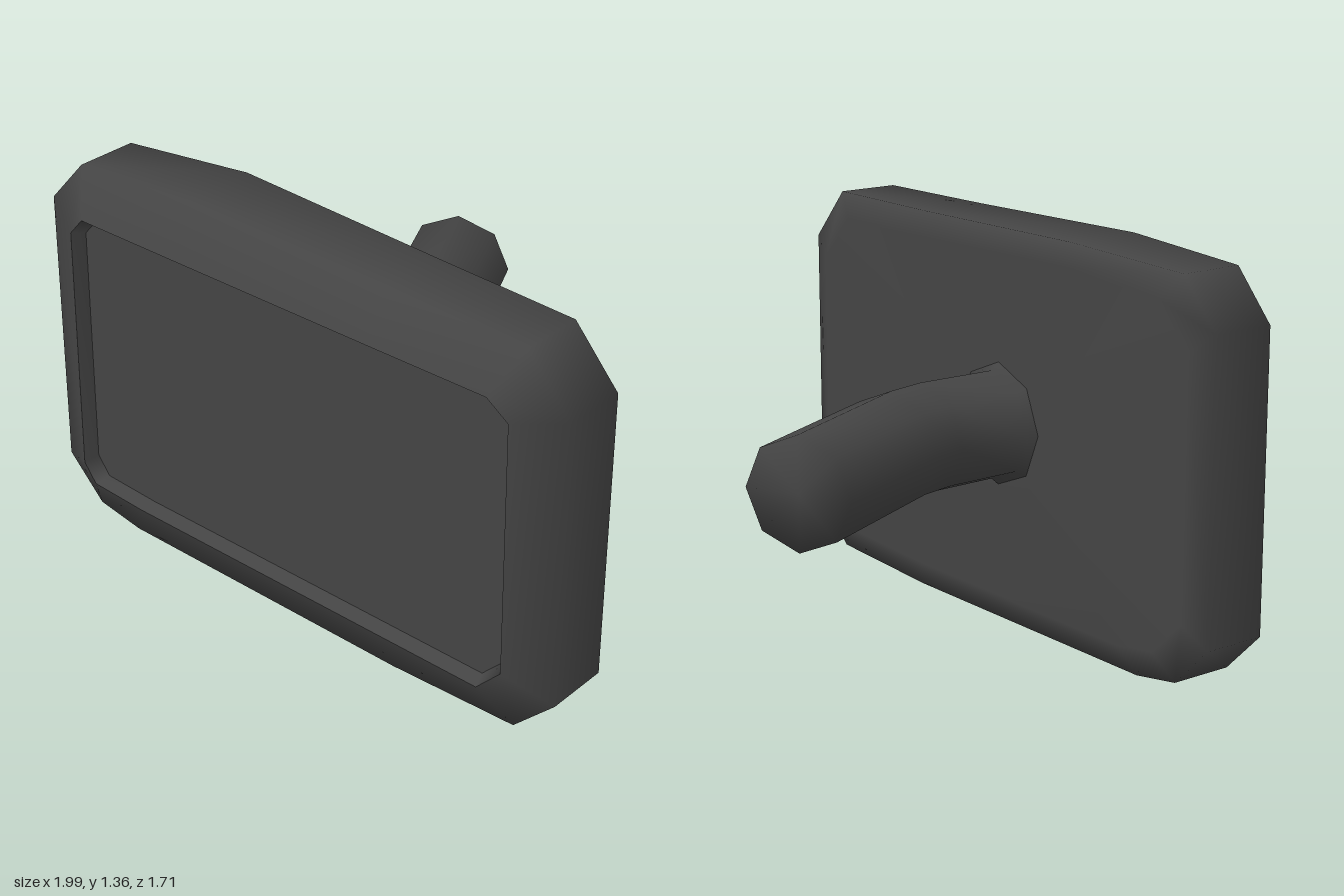
import * as THREE from 'three';

// Skin a list of matching rings (counter-clockwise seen from +z), optionally capped.
function loft(rings, capStart = false, capEnd = false) {
  const n = rings[0].length;
  const points = rings.flat();
  const index = [];
  for (let r = 0; r < rings.length - 1; r++) {
    for (let i = 0; i < n; i++) {
      const j = (i + 1) % n;
      const a = r * n + i, b = r * n + j, c = a + n, d = b + n;
      index.push(a, b, d, a, d, c);
    }
  }
  const cap = (r, flip) => {
    const centre = new THREE.Vector3();
    rings[r].forEach((p) => centre.addScaledVector(p, 1 / n));
    const k = points.push(centre) - 1;
    for (let i = 0; i < n; i++) {
      const a = r * n + i, b = r * n + ((i + 1) % n);
      if (flip) index.push(k, b, a);
      else index.push(k, a, b);
    }
  };
  if (capStart) cap(0, true);
  if (capEnd) cap(rings.length - 1, false);
  const geo = new THREE.BufferGeometry().setFromPoints(points);
  geo.setIndex(index);
  geo.computeVertexNormals();
  return geo;
}

// Outer outline of the housing and the opening of the recess
const OUTER = [
  [-0.925, 0.18], [-0.78, 0.035], [-0.6, 0.005], [0.55, 0], [1.03, 0.02], [1.18, 0.17],
  [1.18, 1.16], [1.02, 1.34], [0.5, 1.345], [-0.3, 1.36], [-0.78, 1.33], [-0.925, 1.17],
];
const OPENING = [
  [-0.77, 0.24], [-0.72, 0.175], [-0.5, 0.165], [0.5, 0.165], [0.94, 0.165], [1.03, 0.26],
  [1.02, 1.13], [0.94, 1.185], [0.5, 1.183], [-0.3, 1.182], [-0.71, 1.182], [-0.765, 1.12],
];
const MID = new THREE.Vector2(0.128, 0.68);

// Place an outline at depth z, drawn in by a fixed margin on each axis
function ring(outline, z, inset = 0) {
  return outline.map(([x, y]) => {
    const sx = 1 - inset / 1.05, sy = 1 - inset / 0.68;
    return new THREE.Vector3(MID.x + (x - MID.x) * sx, MID.y + (y - MID.y) * sy, z);
  });
}

// Octagonal cross-section of the arm, turned about y
function armRing([x, z, angle, radius]) {
  const phi = THREE.MathUtils.degToRad(angle);
  return Array.from({ length: 8 }, (_, i) => {
    const t = (i / 8) * Math.PI * 2;
    const c = Math.cos(t) * radius;
    return new THREE.Vector3(x + c * Math.cos(phi), 0.693 + Math.sin(t) * radius, z + c * Math.sin(phi));
  });
}

export function createModel() {
  const model = new THREE.Group();
  model.name = 'sideMirror';
  const material = new THREE.MeshStandardMaterial({ color: 0x444444 });
  const add = (parent, name, geometry) => {
    const mesh = new THREE.Mesh(geometry, material);
    mesh.name = name;
    parent.add(mesh);
  };

  // Angled head: shell, recess wall and glass
  const head = new THREE.Group();
  head.name = 'mirrorHead';
  head.rotation.y = -0.451;
  model.add(head);

  const back = ring(OUTER, 0.15);
  back[9].z = 0.105; // slight bulge along the top edge
  back[8].z = 0.13;
  add(head, 'housing', loft([
    ring(OUTER, 0.12, 0.09),
    back,
    ring(OUTER, 0.37),
    ring(OPENING, 0.447),
  ], true));
  add(head, 'recessWall', loft([ring(OPENING, 0.447), ring(OPENING, 0.397, 0.02)]));
  add(head, 'mirrorGlass', loft([ring(OPENING, 0.397, 0.02)], false, true));

  // Bent mounting arm, flaring where it meets the housing
  const sections = [
    [0.187, -0.858, 0, 0.184],
    [0.187, -0.28, 10, 0.187],
    [0.155, -0.14, 17, 0.187],
    [0.03, 0.115, 25.8, 0.185],
    [0.014, 0.148, 25.8, 0.215],
    [-0.01, 0.2, 25.8, 0.215],
  ];
  add(model, 'mountingArm', loft(sections.map(armRing), true));

  return model;
}
